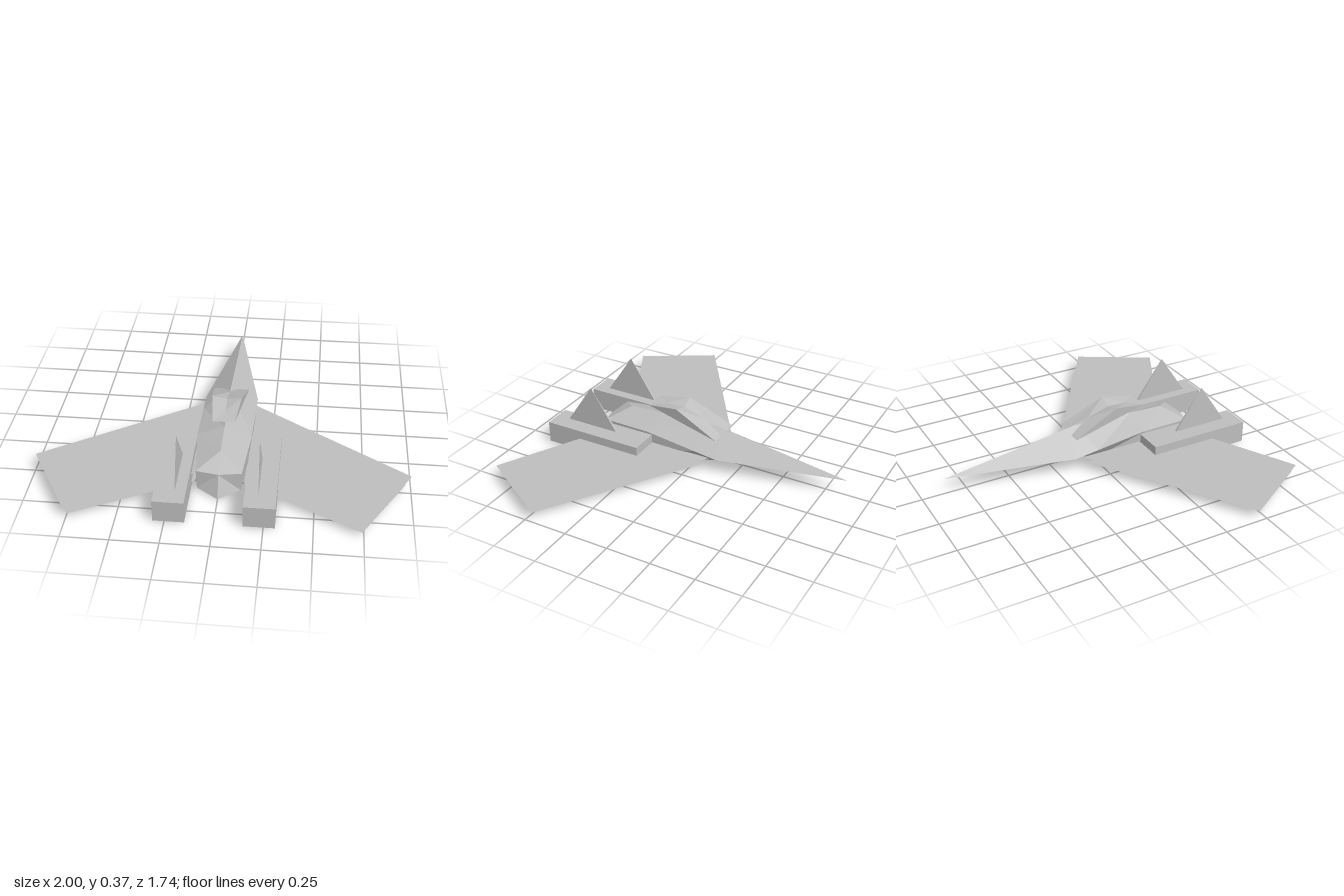
import * as THREE from 'three';

const grey = new THREE.MeshStandardMaterial({ color: 0xbebebe, flatShading: true, side: THREE.DoubleSide });
grey.name = 'hull grey';

function add(parent, name, geometry) {
  const mesh = new THREE.Mesh(geometry, grey);
  mesh.name = name;
  parent.add(mesh);
  return mesh;
}

// Faceted solid from a few corners and the triangles joining them
function facets(points, faces) {
  const g = new THREE.BufferGeometry();
  g.setAttribute('position', new THREE.Float32BufferAttribute(faces.flat().flatMap(i => points[i]), 3));
  g.computeVertexNormals();
  return g;
}

// Flat horizontal plate from an outline in x and z
function plate(outline, side, y) {
  const shape = new THREE.Shape(outline.map(([x, z]) => new THREE.Vector2(x * side, z)));
  const g = new THREE.ShapeGeometry(shape).rotateX(-Math.PI / 2).scale(1, 1, -1);
  // the mirror in z flips the winding, so rebuild it to face up
  const idx = g.index.array;
  for (let i = 0; i < idx.length; i += 3) [idx[i + 1], idx[i + 2]] = [idx[i + 2], idx[i + 1]];
  g.computeVertexNormals();
  return g.translate(0, y, 0);
}

// Body ring: top ridge, chine, lower edge and keel, mirrored in x
function ring(top, chine, low, keel) {
  const m = ([x, y, z]) => [-x, y, z];
  return [top, chine, low, keel, m(low), m(chine)];
}

function bodyGeometry() {
  const tip = [0, 0.093, -0.87];
  const rings = [
    ring(tip, tip, tip, tip),
    ring([0, 0.205, -0.12], [0.15, 0.09, -0.16], [0.08, 0.09, -0.16], [0, 0.09, -0.16]),
    ring([0, 0.21, -0.08], [0.15, 0.108, -0.02], [0.1, 0.028, -0.02], [0, 0.025, -0.02]),
    ring([0, 0.197, 0.27], [0.147, 0.145, 0.28], [0.143, 0.02, 0.28], [0, 0.014, 0.28]),
    ring([0, 0.188, 0.47], [0.12, 0.13, 0.58], [0.115, 0.02, 0.58], [0, 0.003, 0.645]),
  ];
  const points = rings.flat();
  const faces = [];
  for (let r = 0; r < rings.length - 1; r++) {
    for (let i = 0; i < 6; i++) {
      const a = r * 6 + i, b = r * 6 + (i + 1) % 6;
      if (r > 0) faces.push([a, b, b + 6]);
      faces.push([a, b + 6, a + 6]);
    }
  }
  // Tail cap
  const end = points.push([0, 0.125, 0.595]) - 1;
  const start = (rings.length - 1) * 6;
  for (let i = 0; i < 6; i++) faces.push([start + i, start + (i + 1) % 6, end]);
  // Outward order: the ring runs clockwise seen from +z
  return facets(points, faces.map(([a, b, c]) => [a, c, b]));
}

function canopyGeometry() {
  const points = [
    [0, 0.19, -0.06], [0, 0.235, -0.01], [0, 0.275, 0.12], [0, 0.272, 0.23], [0, 0.265, 0.32], // centre line
    [0.1, 0.175, -0.13], [0.035, 0.175, -0.13], [0.08, 0.297, 0.13], [0.06, 0.265, 0.32], // +x half
    [-0.1, 0.175, -0.13], [-0.035, 0.175, -0.13], [-0.08, 0.297, 0.13], [-0.06, 0.265, 0.32], // -x half
  ];
  const half = [
    [5, 6, 7], [6, 0, 1], [6, 1, 7], [7, 1, 2], [7, 2, 3], [7, 3, 8], [8, 3, 4], // top
    [5, 7, 8], // side
    [5, 8, 6], [6, 8, 0], [0, 8, 4], // underside
  ];
  const mirrored = half.map(f => f.map(i => (i > 4 ? i + 4 : i)).reverse());
  return facets(points, [...half, ...mirrored]);
}

export function createModel() {
  const model = new THREE.Group();
  model.name = 'spacecraft';

  add(model, 'body', bodyGeometry());
  add(model, 'canopy', canopyGeometry());

  const upper = [[0.14, -0.11], [1, 0.46], [0.76, 0.87], [0.14, 0.545]];
  const lower = [[0.13, -0.08], [0.97, 0.475], [0.74, 0.865], [0.13, 0.545]];
  const strip = [[0.24, -0.035], [0.92, 0.42], [0.84, 0.49], [0.15, 0.03]];

  for (const side of [1, -1]) {
    const half = new THREE.Group();
    half.name = side > 0 ? 'leftSide' : 'rightSide';
    model.add(half);

    // Paired flat wings with a leading edge panel
    add(half, 'upperWing', plate(upper, side, 0.083));
    add(half, 'lowerWing', plate(lower, side, 0.036));
    add(half, 'wingPanel', plate(strip, side, 0.086));

    // Box engine
    add(half, 'engine', new THREE.BoxGeometry(0.162, 0.124, 0.593)).position.set(side * 0.228, 0.071, 0.548);

    // Thin pyramid tail fin
    const fin = new THREE.ConeGeometry(Math.SQRT1_2, 1, 4).rotateY(Math.PI / 4).scale(0.014, 0.238, 0.32);
    add(half, 'tailFin', fin).position.set(side * 0.211, 0.251, 0.605);
  }
  return model;
}
